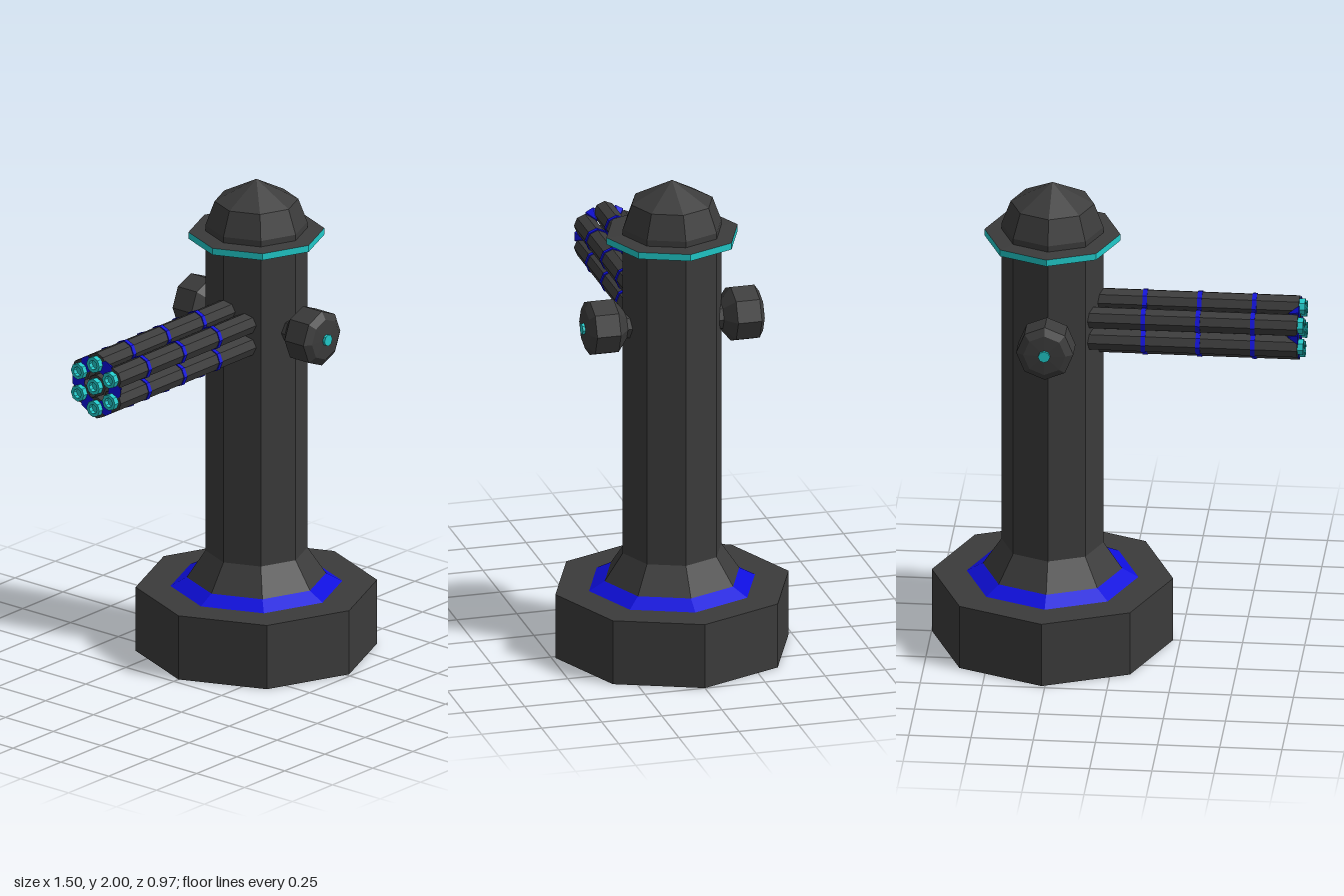
import * as THREE from 'three';

const material = (name, color) => {
  const m = new THREE.MeshStandardMaterial({ color });
  m.name = name;
  return m;
};

// Faceted solid of revolution around y; profile runs counterclockwise
function lathe(profile, sides = 8) {
  const g = new THREE.LatheGeometry(profile.map(([r, y]) => new THREE.Vector2(r, y)), sides).toNonIndexed();
  g.computeVertexNormals();
  return g;
}

export function createModel() {
  const iron = material('dark iron', 0x3b3b3b);
  const blue = material('blue', 0x0e0edc);
  const teal = material('teal', 0x20c8c8);

  const model = new THREE.Group();
  model.name = 'hydrantTurret';
  const add = (parent, name, geometry, mat) => {
    const mesh = new THREE.Mesh(geometry, mat);
    mesh.name = name;
    parent.add(mesh);
    return mesh;
  };

  // Upright octagonal column
  const column = new THREE.Group();
  column.name = 'column';
  column.position.x = 0.264;
  model.add(column);
  // Foot with a hollow underside
  add(column, 'foot', lathe([[0, 0.19], [0.3, 0.19], [0.485, 0], [0.485, 0.272], [0.345, 0.272]]), iron);
  add(column, 'footRing', lathe([[0.345, 0.272], [0.28, 0.308]]), blue);
  add(column, 'body', lathe([[0.28, 0.308], [0.205, 0.42], [0.205, 1.75]]), iron);
  add(column, 'collarUnderside', lathe([[0.2, 1.745], [0.273, 1.753]]), iron);
  add(column, 'collarRim', lathe([[0.273, 1.753], [0.273, 1.781]]), teal);
  add(column, 'dome', lathe([[0.273, 1.781], [0.205, 1.785], [0.205, 1.81], [0.168, 1.91], [0, 2]]), iron);

  // Caps on the front and back
  for (const [name, turn] of [['frontCap', 0], ['backCap', Math.PI]]) {
    const cap = new THREE.Group();
    cap.name = name;
    cap.position.y = 1.4;
    cap.rotation.y = turn;
    column.add(cap);
    const hub = lathe([[0.06, 0.17], [0.06, 0.2], [0.115, 0.244], [0.115, 0.342], [0.085, 0.362], [0, 0.368]]);
    add(cap, 'capHub', hub.rotateX(Math.PI / 2), iron);
    const bolt = lathe([[0.024, 0.355], [0.024, 0.377], [0, 0.377]]);
    add(cap, 'capBolt', bolt.rotateX(Math.PI / 2), teal);
  }

  // Cluster of seven barrels; local y points along the barrels, toward -x
  const cluster = new THREE.Group();
  cluster.name = 'barrelCluster';
  cluster.position.y = 1.4;
  cluster.rotation.z = Math.PI / 2;
  model.add(cluster);
  const R = 0.094, r = 0.046;

  const barrelShape = lathe([[r, -0.13], [r, 0.73], [0, 0.73]]);
  const muzzleShape = lathe([[0.034, 0.725], [0.034, 0.753], [0.02, 0.753], [0.02, 0.735], [0, 0.735]]);
  const bandShape = lathe([[r, -0.009], [r + 0.004, -0.009], [r + 0.004, 0.009], [r, 0.009]]);
  for (let i = 0; i < 7; i++) {
    const barrel = new THREE.Group();
    barrel.name = 'barrel' + (i + 1);
    if (i < 6) {
      const a = (i * Math.PI) / 3;
      barrel.position.set(Math.cos(a) * R, 0, Math.sin(a) * R);
    }
    cluster.add(barrel);
    add(barrel, 'tube', barrelShape, iron);
    add(barrel, 'muzzle', muzzleShape, teal);
    for (const at of [0.11, 0.33, 0.55]) add(barrel, 'band', bandShape, blue).position.y = at;
  }

  // Blue wedges filling the grooves at the muzzle end
  const wedgeShape = lathe([[0.036, 0], [0, -0.045]].reverse().concat([[0, 0]]), 6);
  for (let i = 0; i < 6; i++) {
    const a = ((i + 0.5) * Math.PI) / 3;
    const wedge = add(cluster, 'wedge', wedgeShape, blue);
    wedge.position.set(Math.cos(a) * 0.094, 0.732, Math.sin(a) * 0.094);
    wedge.rotation.y = -a;
  }

  return model;
}
